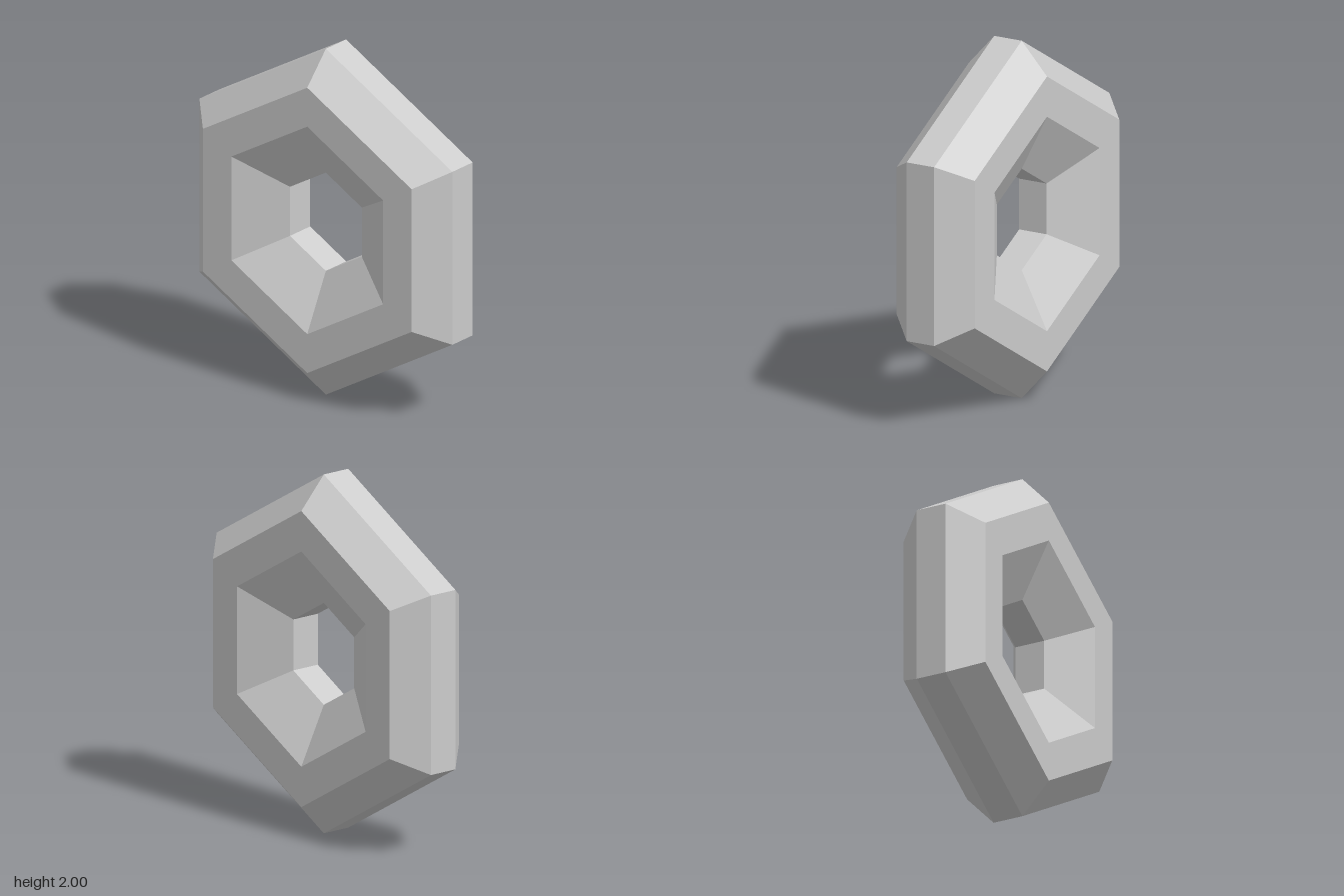
import * as THREE from 'three';

export function createModel() {
  const group = new THREE.Group();
  group.name = 'hexagonalRing';

  // Closed cross-section (radius, depth), bevelled outside and flared inside
  const half = [[1, 0.088], [0.825, 0.25], [0.6, 0.25], [0.284, 0.088]];
  const mirrored = half.map(([r, d]) => [r, -d]).reverse();
  const profile = [...half, ...mirrored, half[0]].map(([r, d]) => new THREE.Vector2(r, d));

  // Six-sided sweep, turned upright with a corner at the top
  const geometry = new THREE.LatheGeometry(profile, 6).toNonIndexed();
  geometry.rotateX(-Math.PI / 2);
  geometry.computeVertexNormals();

  const ring = new THREE.Mesh(
    geometry,
    new THREE.MeshStandardMaterial({ color: 0xcccccc, flatShading: true })
  );
  ring.name = 'ring';
  ring.position.y = 1;
  group.add(ring);
  return group;
}
